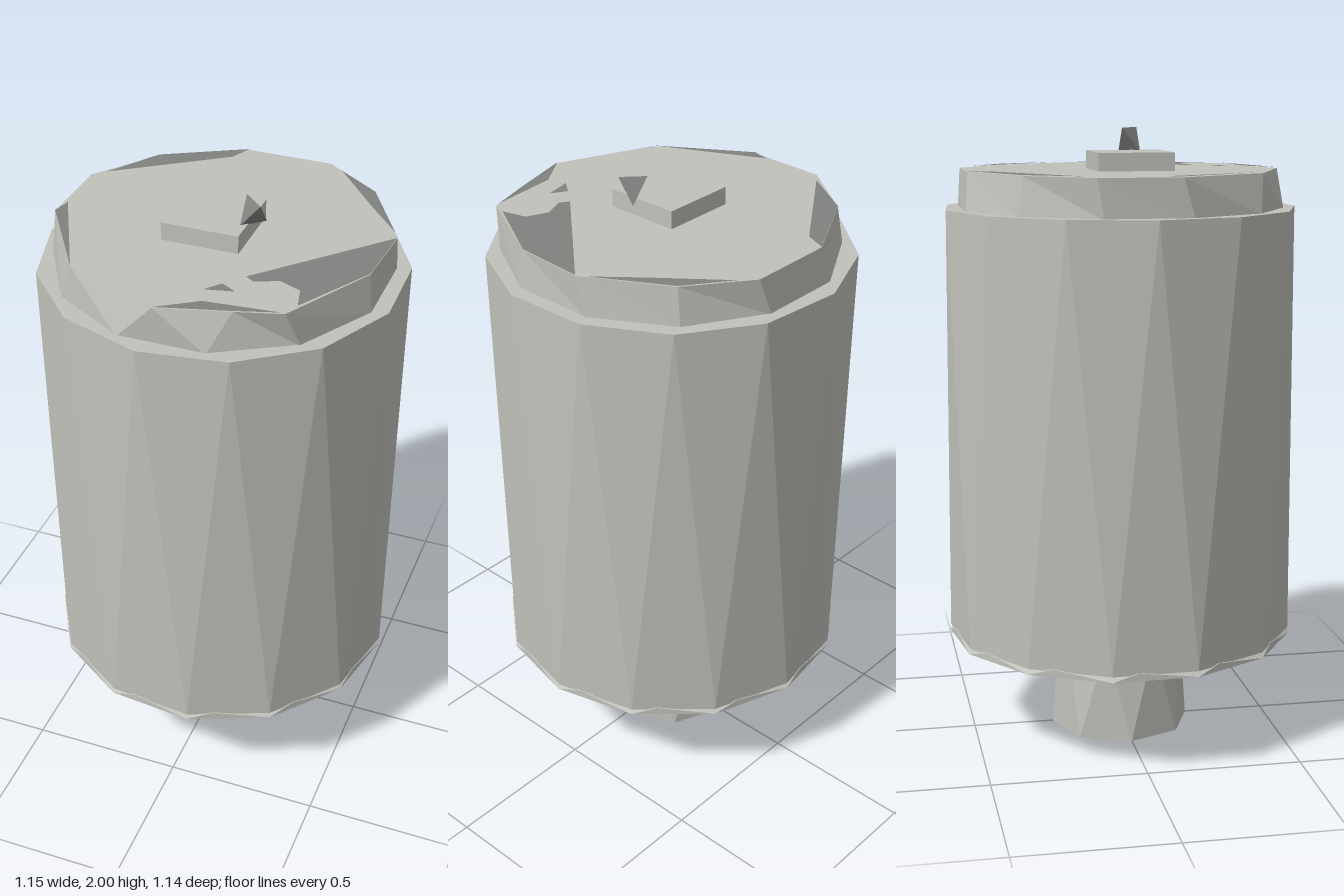
import * as THREE from 'three';

const lightGrey = new THREE.MeshStandardMaterial({ color: 0xc0c1ba, flatShading: true });
lightGrey.name = 'light grey';
const darkGrey = new THREE.MeshStandardMaterial({ color: 0x808280, flatShading: true });
darkGrey.name = 'dark grey';

// Regular ring of n points, counter-clockwise from above, starting at the front
function ring(n, r, y, turn = 0) {
  return Array.from({ length: n }, (_, i) => {
    const a = ((i + turn) / n) * Math.PI * 2;
    return [r * Math.sin(a), y, r * Math.cos(a)];
  });
}

// Closed solid through rings of equal count, with triangulated walls
function loft(rings) {
  const p = [];
  const n = rings[0].length;
  const centre = (r) => [0, r[0][1], 0];
  const first = rings[0], last = rings[rings.length - 1];
  for (let i = 0; i < n; i++) {
    const j = (i + 1) % n;
    for (let k = 0; k + 1 < rings.length; k++) {
      const a = rings[k], b = rings[k + 1];
      p.push(...a[i], ...a[j], ...b[i], ...a[j], ...b[j], ...b[i]);
    }
    p.push(...centre(first), ...first[j], ...first[i]);
    p.push(...centre(last), ...last[i], ...last[j]);
  }
  return fromPoints(p);
}

function fromPoints(p) {
  const g = new THREE.BufferGeometry();
  g.setAttribute('position', new THREE.Float32BufferAttribute(p, 3));
  g.computeVertexNormals();
  return g;
}

export function createModel() {
  const model = new THREE.Group();
  model.name = 'canister';
  const add = (name, geometry, material, x = 0, y = 0, z = 0) => {
    const mesh = new THREE.Mesh(geometry, material);
    mesh.name = name;
    mesh.position.set(x, y, z);
    model.add(mesh);
  };

  // Faceted neck, flange and drum, with rings staggered by half a side
  add('neck', loft([ring(8, 0.232, 0), ring(8, 0.21, 0.32, 0.5)]), lightGrey);
  add('flange', loft([
    ring(13, 0.12, 0.302), ring(13, 0.575, 0.332, 0.3), ring(13, 0.56, 0.357, 0.6),
  ]), lightGrey);
  add('drum', loft([ring(13, 0.572, 0.35, 0.3), ring(13, 0.575, 1.75, 0.8)]), lightGrey);

  // Uneven lid: top outline as x, z pairs
  const lidTop = [
    [-0.02, 0.52], [0.2, 0.46], [0.34, 0.42], [0.5, 0.13], [0.515, -0.1], [0.37, -0.36],
    [0.18, -0.5], [-0.1, -0.5], [-0.36, -0.36], [-0.51, -0.16], [-0.515, 0.1], [-0.33, 0.39],
  ].map(([x, z]) => [x, 1.87, z]);
  add('lid', loft([ring(12, 0.53, 1.745, -0.5), lidTop]), lightGrey);

  // Dark flat patches on the lid
  const patches = [
    [[0.17, 0.27], [0.2, 0.29], [0.27, 0.26], [0.34, 0.29], [0.36, 0.37], [0.5, 0.13], [0.515, -0.1]],
    [[-0.47, -0.19], [-0.13, -0.43], [-0.1, -0.5], [-0.36, -0.36]],
    [[-0.515, 0.1], [-0.33, 0.39], [-0.5, 0.04]],
    [[-0.02, 0.52], [0.2, 0.46], [0.33, 0.42], [0.1, 0.44]],
    [[0.23, -0.46], [0.37, -0.36], [0.5, -0.13], [0.39, -0.26]],
    [[0.08, 0.38], [0.17, 0.36], [0.12, 0.33]],
  ];
  for (const points of patches) {
    const shape = new THREE.Shape(points.map(([x, z]) => new THREE.Vector2(x, -z)));
    add('lidPatch', new THREE.ShapeGeometry(shape).rotateX(-Math.PI / 2), darkGrey, 0, 1.873, 0);
  }

  // Square plate on the lid and small block on the neck
  add('topPlate', new THREE.BoxGeometry(0.245, 0.065, 0.245), lightGrey, -0.02, 1.895, 0.03);
  add('neckBlock', new THREE.BoxGeometry(0.085, 0.1, 0.05), darkGrey, 0.108, 0.155, 0.21);

  // Four-sided tip standing on the plate edge
  const [a, b, c, d] = [
    [-0.032, -0.038, 0.03], [0.032, 0.038, 0.03], [-0.032, 0.038, -0.03], [0.032, -0.038, -0.03],
  ];
  const faces = [a, b, c, a, d, b, a, c, d, b, d, c];
  add('tip', fromPoints(faces.flat()), darkGrey, 0.114, 1.962, 0.054);

  return model;
}
